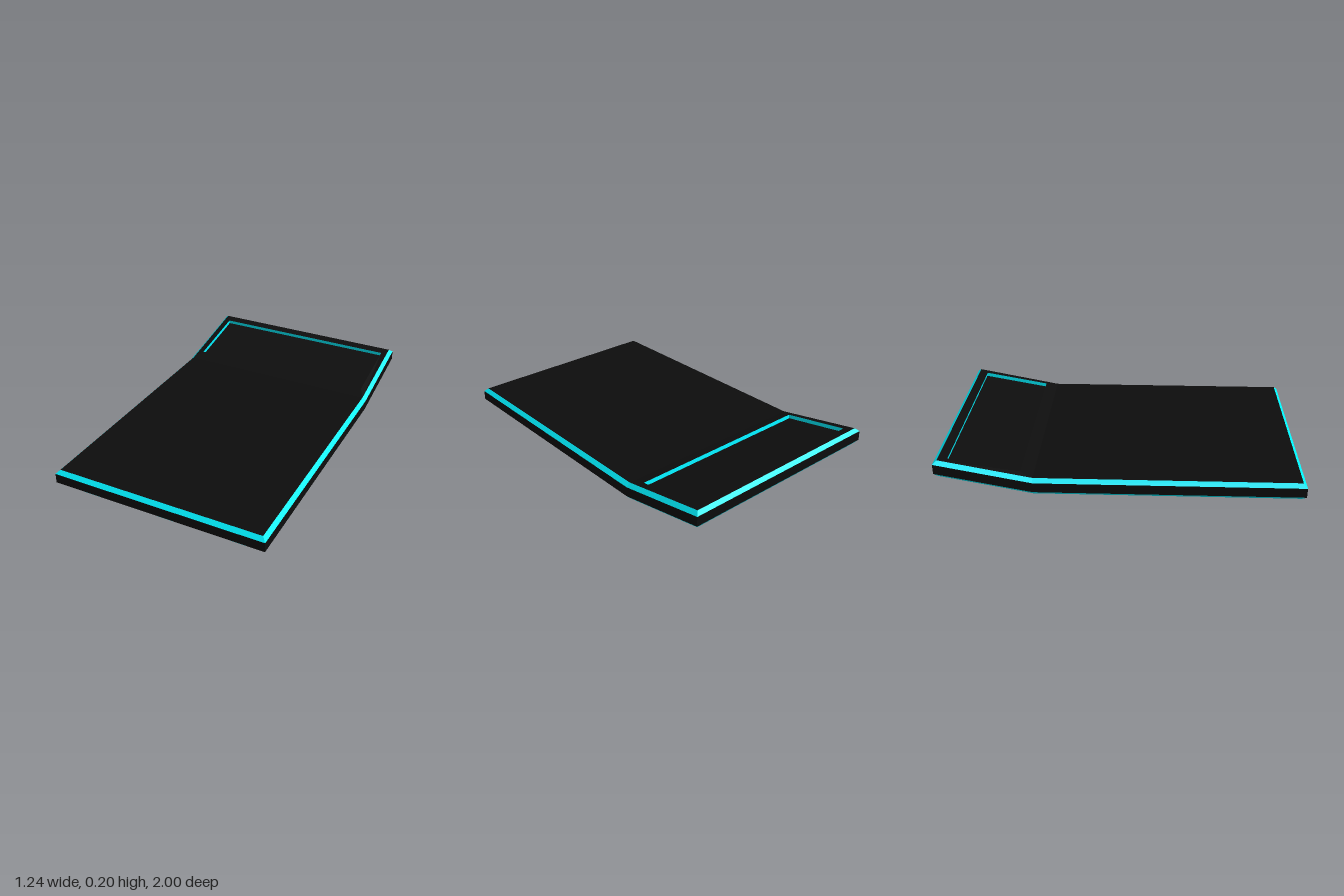
import * as THREE from 'three';

const BEND = -0.47, SLOPE = 0.194;
const HALF_W = 0.622, CHAMFER = 0.021, THICK = 0.098;

// Height gained by the tilted rear part
const lift = z => Math.max(0, BEND - z) * SLOPE;
const point = (x, y, z) => [x, y + lift(z), z];

// Flat-faced mesh from quads given counter-clockwise
function quadMesh(name, quads, material) {
  const pos = quads.flatMap(([a, b, c, d]) => [a, b, c, a, c, d]).flat();
  const geometry = new THREE.BufferGeometry();
  geometry.setAttribute('position', new THREE.Float32BufferAttribute(pos, 3));
  geometry.computeVertexNormals();
  const mesh = new THREE.Mesh(geometry, material);
  mesh.name = name;
  return mesh;
}

// Closed strip of quads between two rings of points
const band = (a, b) => a.map((p, i) => {
  const j = (i + 1) % a.length;
  return [p, a[j], b[j], b[i]];
});

// Outline of the slab at one height, counter-clockwise from above
function outline(y, inset) {
  const w = HALF_W - inset, e = 1 - inset;
  return [[w, e], [w, BEND], [w, -e], [-w, -e], [-w, BEND], [-w, e]]
    .map(([x, z]) => point(x, y, z));
}

export function createModel() {
  const group = new THREE.Group();
  const black = new THREE.MeshStandardMaterial({ color: 0x0d0d0d });
  const cyan = new THREE.MeshStandardMaterial({ color: 0x00f0ff });

  // Slab: four outlines from underside to top
  const under = outline(0, CHAMFER);
  const low = outline(CHAMFER, 0);
  const high = outline(THICK - CHAMFER, 0);
  const top = outline(THICK, CHAMFER);

  group.add(quadMesh('sideWalls', band(low, high), black));
  group.add(quadMesh('lowerChamfer', band(under, low), cyan));
  group.add(quadMesh('upperChamfer', band(high, top), cyan));
  group.add(quadMesh('underside', [
    [under[0], under[5], under[4], under[1]],
    [under[1], under[4], under[3], under[2]],
  ], black));
  group.add(quadMesh('flatTop', [[top[0], top[1], top[4], top[5]]], black));

  // Recess in the tilted part, its front lip slightly raised
  const rim = [[0.565, -0.54, 0.004], [0.565, -0.93, 0], [-0.565, -0.93, 0], [-0.565, -0.54, 0.004]]
    .map(([x, z, raise]) => point(x, THICK + raise, z));
  const floor = rim.map(([x, y, z]) => [x, y - 0.022, z - 0.0045]);
  group.add(quadMesh('recessRim', band(top.slice(1, 5), rim), black));
  group.add(quadMesh('recessWalls', band(rim, floor), cyan));
  group.add(quadMesh('recessFloor', [floor], black));

  return group;
}
